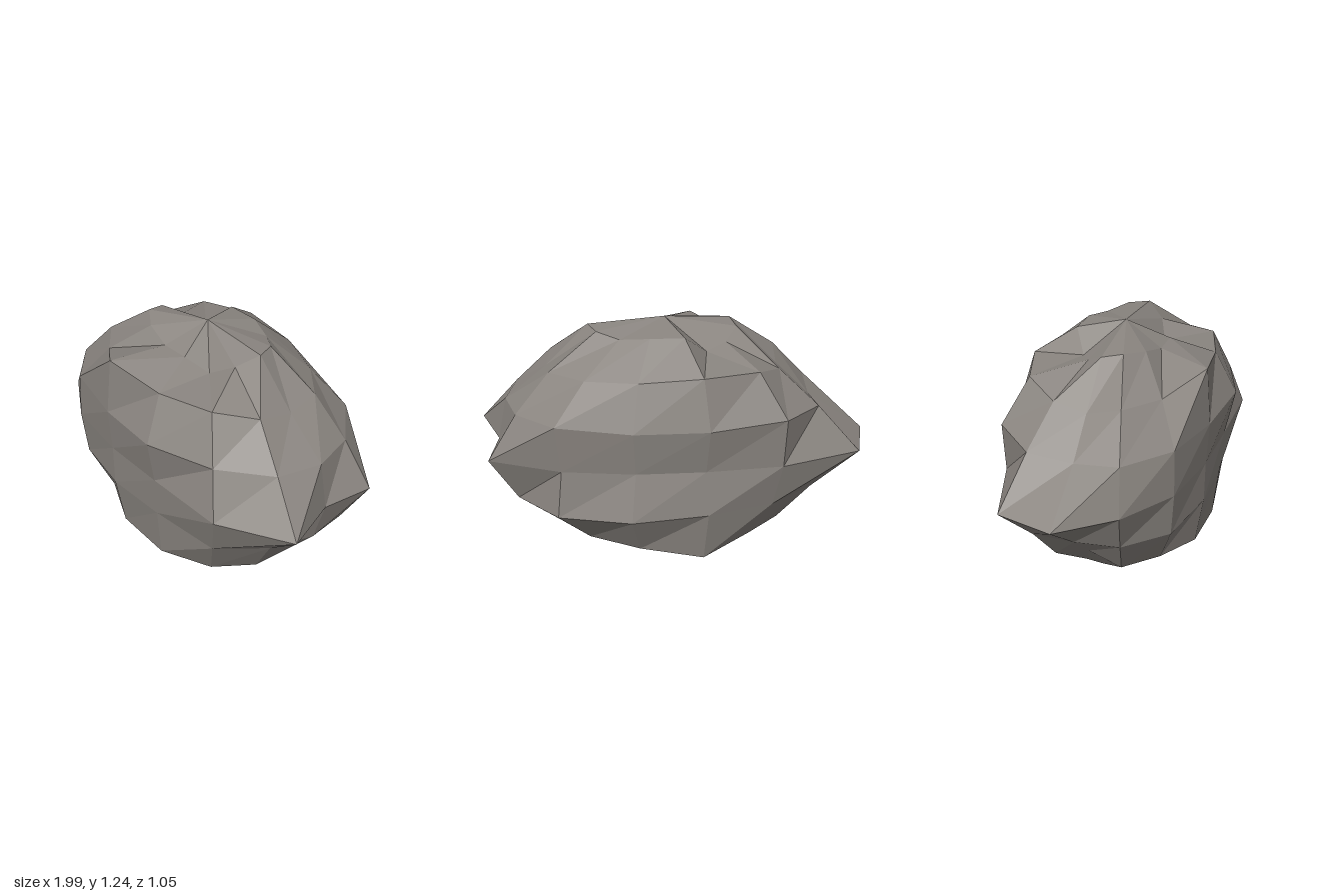
import * as THREE from 'three';

// Radius of each ring, top to bottom, going round from -x through +z, +x and -z
const SIDES = 14;
const RINGS = [
  [0.94, 0.97, 0.94, 0.88, 0.88, 0.78, 0.89, 0.99, 0.98, 0.95, 0.98, 0.98, 0.82, 0.86],
  [0.80, 0.90, 0.90, 1.08, 0.98, 0.98, 0.90, 0.84, 0.90, 0.91, 0.95, 1.00, 0.98, 0.87],
  [0.80, 0.90, 0.92, 0.87, 0.94, 0.92, 0.91, 0.87, 0.89, 0.95, 0.87, 0.89, 0.97, 0.90],
  [1.03, 0.91, 0.86, 0.78, 0.79, 0.98, 1.06, 0.85, 0.98, 0.84, 0.76, 0.76, 0.88, 1.06],
  [0.82, 0.86, 0.89, 0.84, 0.83, 0.92, 0.86, 0.85, 0.90, 0.95, 0.93, 0.88, 0.88, 0.88],
  [0.80, 0.91, 0.93, 1.00, 1.02, 0.98, 0.92, 0.71, 0.86, 0.90, 0.95, 1.04, 0.92, 0.90],
  [0.95, 0.85, 0.80, 0.95, 0.96, 0.99, 1.00, 0.97, 0.83, 0.80, 0.85, 0.88, 0.97, 0.97],
];
const CENTRE = [0.03, 0.615, 0];
const SQUASH = [1, 0.66, 0.625];

// Squashed, uneven sphere: rings of displaced points closed by a fan at each pole
function rockGeometry() {
  const pos = [];
  const index = [];
  const addPoint = (r, theta, phi) => pos.push(
    CENTRE[0] - r * SQUASH[0] * Math.sin(theta) * Math.cos(phi),
    CENTRE[1] + r * SQUASH[1] * Math.cos(theta),
    CENTRE[2] + r * SQUASH[2] * Math.sin(theta) * Math.sin(phi),
  );

  RINGS.forEach((ring, j) => ring.forEach((r, i) =>
    addPoint(r, ((j + 1) * Math.PI) / (RINGS.length + 1), (i * 2 * Math.PI) / SIDES)));
  addPoint(0.962, 0, 0);
  addPoint(0.88, Math.PI, 0);

  const last = RINGS.length - 1;
  const top = RINGS.length * SIDES;
  const bottom = top + 1;
  for (let i = 0; i < SIDES; i++) {
    const n = (i + 1) % SIDES;
    for (let j = 0; j < last; j++) {
      const a = j * SIDES + n;
      const b = j * SIDES + i;
      const c = b + SIDES;
      const d = a + SIDES;
      index.push(a, b, c, a, c, d);
    }
    index.push(top, i, n);
    index.push(bottom, last * SIDES + n, last * SIDES + i);
  }

  const indexed = new THREE.BufferGeometry();
  indexed.setAttribute('position', new THREE.Float32BufferAttribute(pos, 3));
  indexed.setIndex(index);
  const geometry = indexed.toNonIndexed();
  geometry.computeVertexNormals();
  return geometry;
}

export function createModel() {
  const stone = new THREE.MeshStandardMaterial({ color: 0x8a8580, flatShading: true });
  stone.name = 'stone grey';

  const group = new THREE.Group();
  group.name = 'rock';
  const boulder = new THREE.Mesh(rockGeometry(), stone);
  boulder.name = 'boulder';
  group.add(boulder);
  return group;
}
